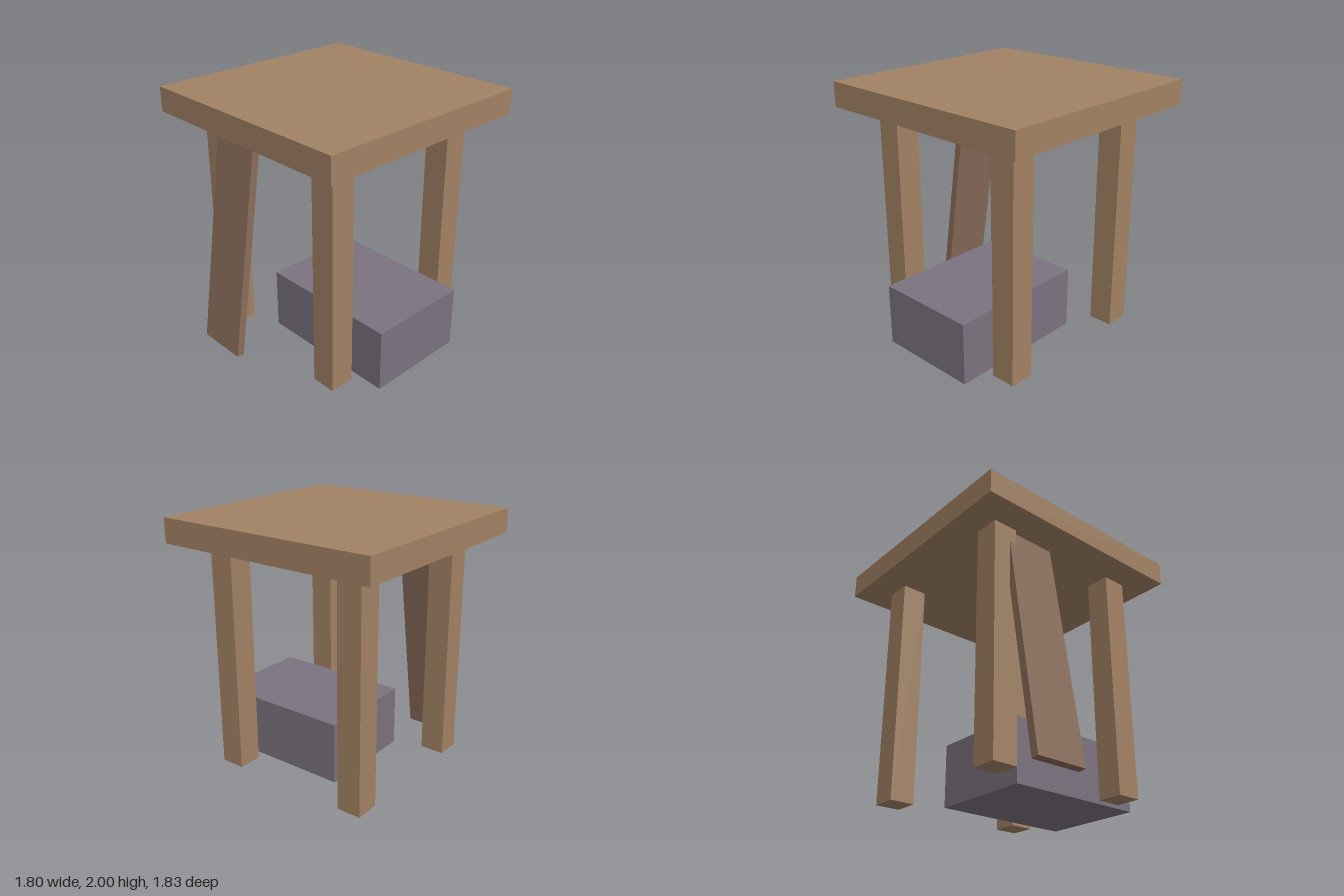
import * as THREE from 'three';

export function createModel() {
  const model = new THREE.Group();
  model.name = 'table';

  const material = (name, color) => {
    const m = new THREE.MeshStandardMaterial({ color });
    m.name = name;
    return m;
  };
  const wood = material('light wood', 0xa28264);
  const darkWood = material('dark wood', 0x8a6d5b);
  const grey = material('purple grey', 0x7b737f);

  const box = (name, size, position, mat) => {
    const mesh = new THREE.Mesh(new THREE.BoxGeometry(...size), mat);
    mesh.name = name;
    mesh.position.set(...position);
    model.add(mesh);
    return mesh;
  };

  const floor = 0.01, topBase = 1.81, centreZ = -0.015;

  // Thick square top
  box('tableTop', [1.8, 0.19, 1.8], [0, 1.905, centreZ], wood);

  // Four square legs
  const legHeight = topBase - floor;
  for (const [sx, side] of [[1, 'Left'], [-1, 'Right']]) {
    for (const [sz, end] of [[1, 'front'], [-1, 'back']]) {
      box(end + side + 'Leg', [0.196, legHeight, 0.196],
        [sx * 0.578, floor + legHeight / 2, centreZ + sz * 0.578], wood);
    }
  }

  // Crate standing on the floor between the legs
  box('crate', [1.145, 0.49, 0.82], [0.323, 0.255, centreZ], grey);

  // Plank leaning back against the front right leg, pivoting at its lower front edge
  const tilt = 0.15, length = 1.8, thickness = 0.06;
  const plank = box('leaningPlank', [0.41, length, thickness], [-0.33, 0.009, 0.915], darkWood);
  plank.geometry.translate(0, length / 2, -thickness / 2);
  plank.rotation.x = -tilt;

  return model;
}
